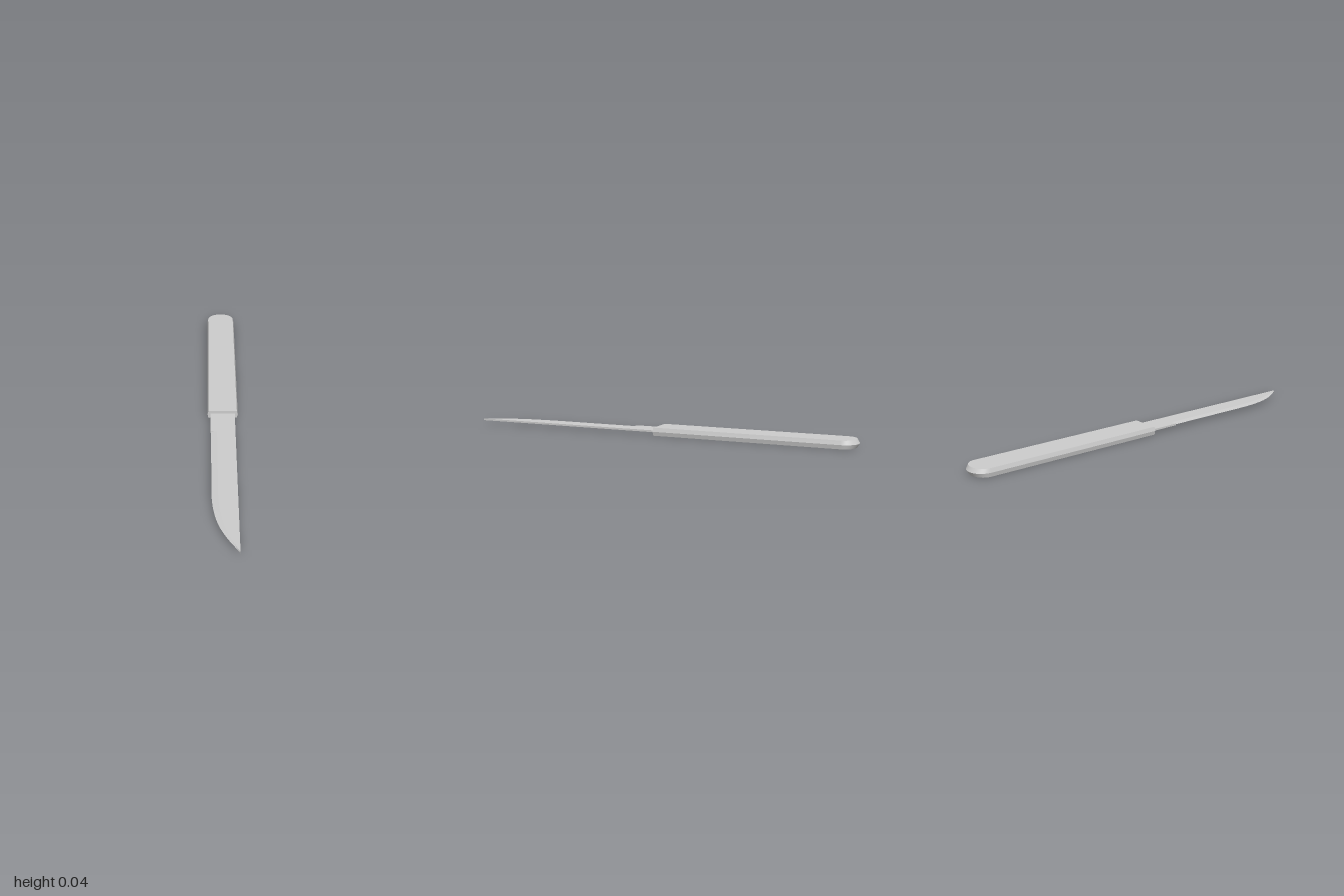
import * as THREE from 'three';
import { toCreasedNormals } from 'three/addons/utils/BufferGeometryUtils.js';

const material = new THREE.MeshStandardMaterial({ color: 0xcccccc });

// Skins a stack of convex rings (counterclockwise seen from the last one) and caps both ends
function loft(name, rings, crease) {
  const n = rings[0].length;
  const index = [];
  for (let r = 0; r < rings.length - 1; r++) {
    for (let j = 0; j < n; j++) {
      const a = r * n + j, b = r * n + (j + 1) % n;
      index.push(a, b, b + n, a, b + n, a + n);
    }
  }
  const last = (rings.length - 1) * n;
  for (let j = 1; j < n - 1; j++) {
    index.push(0, j + 1, j, last, last + j, last + j + 1);
  }
  const geometry = new THREE.BufferGeometry();
  geometry.setAttribute('position', new THREE.Float32BufferAttribute(rings.flat(2), 3));
  geometry.setIndex(index);
  const mesh = new THREE.Mesh(toCreasedNormals(geometry, crease), material);
  mesh.name = name;
  return mesh;
}

// Handle outline at one height: square at the blade, rounded at the butt
function handleOutline(y, halfWidth, length) {
  const ring = [[halfWidth, y, 0]];
  const steps = 16;
  for (let i = 0; i <= steps; i++) {
    const a = Math.PI * i / steps;
    ring.push([halfWidth * Math.cos(a), y, -0.93 - (length - 0.93) * Math.sin(a)]);
  }
  ring.push([-halfWidth, y, 0]);
  return ring;
}

// Blade section: flat spine on +x, flat cheeks, narrow bevel down to the edge on -x
function bladeSection(z, edge) {
  const spine = 0.06, half = 0.0045, mid = 0.02;
  const shoulder = edge + (spine - edge) * 0.25;
  return [
    [spine, mid - half, z], [spine, mid + half, z],
    [shoulder, mid + half, z], [edge, mid, z], [shoulder, mid - half, z],
  ];
}

export function createModel() {
  const model = new THREE.Group();
  model.name = 'knife';

  // Handle with sides ridged at mid height
  model.add(loft('handle', [
    handleOutline(0, 0.07, 0.988),
    handleOutline(0.02, 0.075, 1),
    handleOutline(0.04, 0.07, 0.988),
  ], 0.35));

  // Blade, its edge sweeping up to the spine at the tip
  const sweep = new THREE.CatmullRomCurve3([
    [-0.058, 0.6], [-0.056, 0.67], [-0.047, 0.75], [-0.028, 0.83], [0.006, 0.91], [0.0595, 1],
  ].map(([x, z]) => new THREE.Vector3(x, 0, z)));
  const sections = [bladeSection(0.15, -0.058)];
  for (const p of sweep.getPoints(20)) sections.push(bladeSection(p.z, p.x));
  model.add(loft('blade', sections, 0.1));

  // Unsharpened block between handle and edge
  const heel = new THREE.Mesh(new THREE.BoxGeometry(0.12, 0.009, 0.17), material);
  heel.name = 'bladeHeel';
  heel.position.set(0, 0.02, 0.065);
  model.add(heel);

  return model;
}
